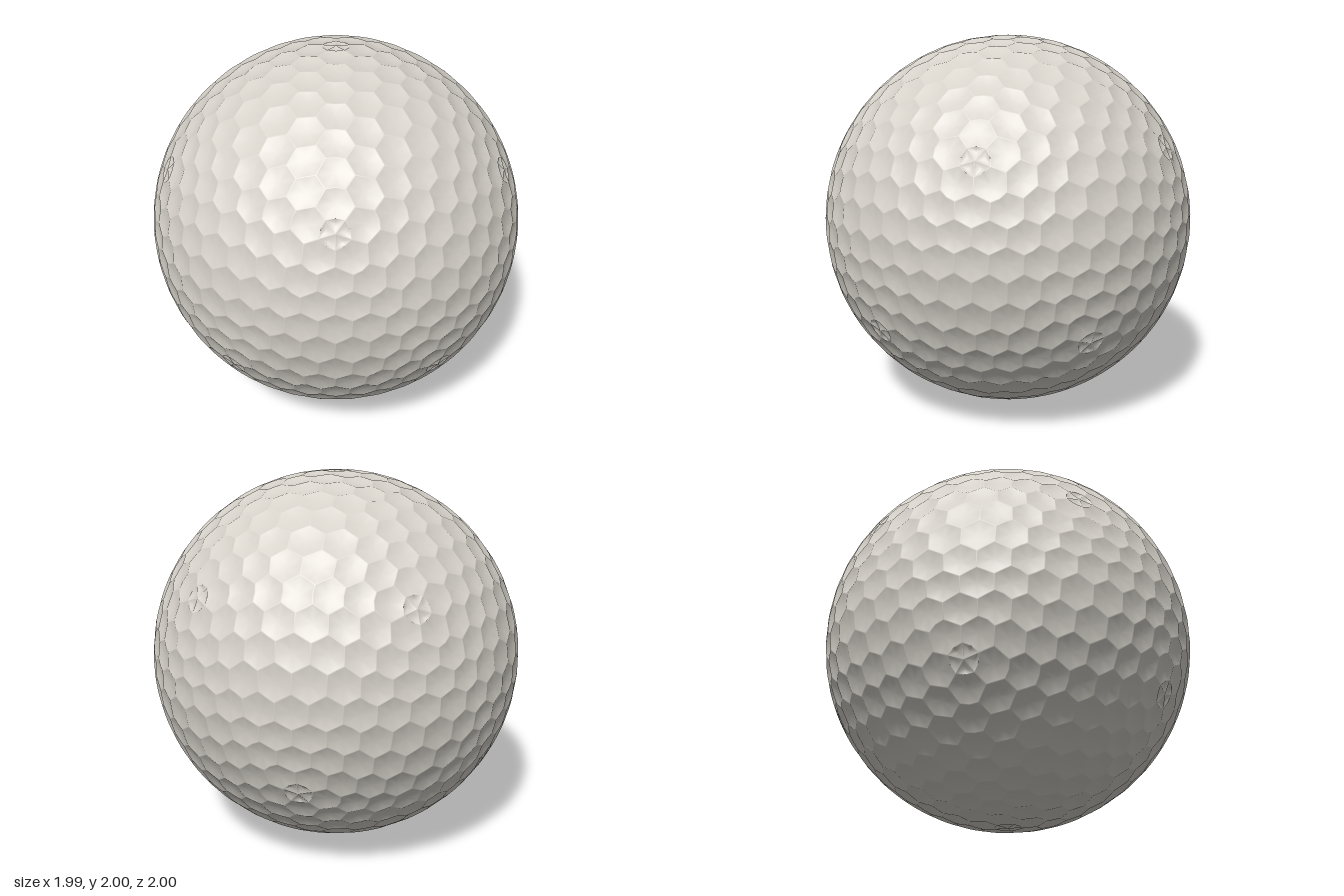
import * as THREE from 'three';
import { mergeVertices } from 'three/addons/utils/BufferGeometryUtils.js';

const HEX_DEPTH = 0.012;
const PETAL_DEPTH = 0.01;
const RINGS = [0.35, 0.65, 0.85, 0.95, 1];

const onSphere = (...pts) =>
  pts.reduce((s, p) => s.add(p), new THREE.Vector3()).normalize();

// The twelve corners and twenty faces of an icosahedron standing on a corner
function icosahedron() {
  const ring = (y, startDeg) => Array.from({ length: 5 }, (_, i) => {
    const az = THREE.MathUtils.degToRad(startDeg + 72 * i);
    const r = Math.sqrt(1 - y * y);
    return new THREE.Vector3(r * Math.sin(az), y, r * Math.cos(az));
  });
  const h = 1 / Math.sqrt(5);
  const top = new THREE.Vector3(0, 1, 0);
  const bottom = new THREE.Vector3(0, -1, 0);
  const upper = ring(h, 18);
  const lower = ring(-h, 54);
  const faces = [];
  for (let i = 0; i < 5; i++) {
    const j = (i + 1) % 5;
    faces.push(
      [top, upper[i], upper[j]],
      [upper[i], lower[i], upper[j]],
      [lower[i], lower[j], upper[j]],
      [bottom, lower[j], lower[i]],
    );
  }
  return { corners: new Set([top, bottom, ...upper, ...lower]), faces };
}

// Split every triangle in four, pushing new points out to the sphere
function subdivide(faces) {
  return faces.flatMap(([a, b, c]) => {
    const ab = onSphere(a, b), bc = onSphere(b, c), ca = onSphere(c, a);
    return [[a, ab, ca], [ab, b, bc], [ca, bc, c], [ab, bc, ca]];
  });
}

function dimpledShell() {
  const positions = [];
  const add = (...pts) => pts.forEach((p) => positions.push(p.x, p.y, p.z));

  // One wedge of a dimple, from its centre out to the ridge between p and q
  function wedge(centre, p, q, depth) {
    const at = (end, t) => centre.clone().lerp(end, t).normalize()
      .multiplyScalar(1 - depth * (1 - t * t));
    const middle = at(centre, 0);
    let p0 = null, q0 = null;
    for (const t of RINGS) {
      const p1 = at(p, t), q1 = at(q, t);
      if (p0) add(p0, p1, q1, p0, q1, q0);
      else add(middle, p1, q1);
      p0 = p1;
      q0 = q1;
    }
  }

  const ico = icosahedron();
  let faces = ico.faces;
  for (let i = 0; i < 3; i++) faces = subdivide(faces);

  for (const tri of faces) {
    const centroid = onSphere(...tri);
    for (let k = 0; k < 3; k++) {
      const a = tri[k];
      const next = onSphere(a, tri[(k + 1) % 3]);
      const prev = onSphere(a, tri[(k + 2) % 3]);
      if (!ico.corners.has(a)) {
        // Large six-sided dimples
        wedge(a, next, centroid, HEX_DEPTH);
        wedge(a, centroid, prev, HEX_DEPTH);
      } else {
        // Five small petal dimples around each icosahedron corner
        const g1 = a.clone().lerp(next, 0.64).normalize();
        wedge(g1, next, centroid, PETAL_DEPTH);
        wedge(g1, centroid, a, PETAL_DEPTH);
        const g2 = a.clone().lerp(prev, 0.64).normalize();
        wedge(g2, centroid, prev, PETAL_DEPTH);
        wedge(g2, a, centroid, PETAL_DEPTH);
      }
    }
  }

  const soup = new THREE.BufferGeometry();
  soup.setAttribute('position', new THREE.Float32BufferAttribute(positions, 3));
  const geometry = mergeVertices(soup, 1e-5);
  geometry.computeVertexNormals();
  return geometry;
}

export function createModel() {
  const offWhite = new THREE.MeshStandardMaterial({ color: 0xd6d2ca });
  offWhite.name = 'offWhite';

  const shell = new THREE.Mesh(dimpledShell(), offWhite);
  shell.name = 'dimpledShell';
  shell.position.y = 1;

  const group = new THREE.Group();
  group.name = 'golfBall';
  group.add(shell);
  return group;
}
